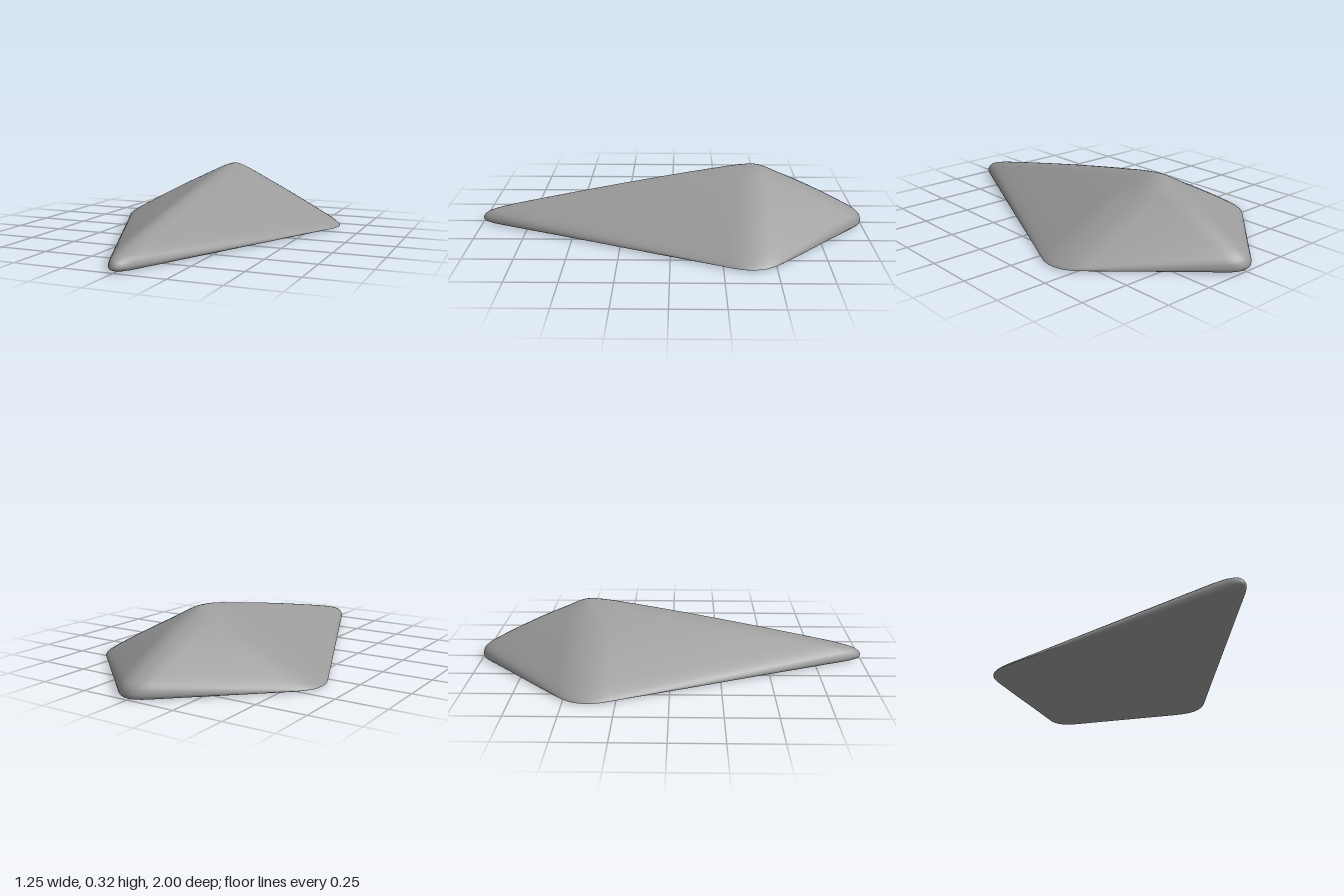
import * as THREE from 'three';

const APEX_Z = -0.42;
// Kite corners (counter-clockwise from above) and how far each one is rounded
const CORNERS = [
  { x: 0, z: 1.065, d: 0.14 },
  { x: 0.664, z: -0.425, d: 0.15 },
  { x: 0, z: -1.037, d: 0.11 },
  { x: -0.664, z: -0.425, d: 0.15 },
];

// Kite outline scaled about the apex, keeping a constant corner rounding
function kiteRing(s) {
  const corners = CORNERS.map((c) => new THREE.Vector2(c.x * s, APEX_Z + (c.z - APEX_Z) * s));
  const toward = (a, b, d) => a.clone().add(b.clone().sub(a).setLength(Math.min(d, a.distanceTo(b) * 0.45)));
  const arcs = corners.map((c, i) => new THREE.QuadraticBezierCurve(
    toward(c, corners[(i + 3) % 4], CORNERS[i].d), c, toward(c, corners[(i + 1) % 4], CORNERS[i].d)));
  const points = [];
  arcs.forEach((arc, i) => {
    points.push(...arc.getPoints(8));
    const end = arcs[(i + 1) % 4].v0;
    for (let k = 1; k < 10; k++) points.push(arc.v2.clone().lerp(end, k / 10));
  });
  return points;
}

// Height of the sloping faces: blunt apex, steeper towards the side corners, slightly full, most at the back
function slopeHeight(p, s) {
  const back = Math.max(0, (APEX_Z - p.y) / (0.6 * s));
  const fullness = (0.035 + 0.03 * back) * s * (1 - s);
  return 0.06 + 0.29 * (1 - Math.hypot(s, 0.1)) - 0.072 * Math.abs(p.x) + fullness;
}

function bodyGeometry() {
  const rings = [];
  // Sloping faces from the apex down towards the rim
  for (const s of [0.02, 0.05, 0.09, 0.14, 0.2, 0.28, 0.38, 0.48, 0.58, 0.68, 0.78, 0.85, 0.9]) {
    rings.push(kiteRing(s).map((p) => [p.x, slopeHeight(p, s), p.y]));
  }
  // Rounded rim: share of the slope height at each ring
  for (const [s, f] of [[0.935, 0.98], [0.96, 0.94], [0.98, 0.86], [0.993, 0.68], [1, 0.42], [0.997, 0.2]]) {
    rings.push(kiteRing(s).map((p) => [p.x, Math.max(0.006, f * slopeHeight(p, s)), p.y]));
  }
  // Almost flat underside
  for (const [s, y] of [[0.985, 0.004], [0.96, 0.002], [0.85, 0], [0.5, 0]]) {
    rings.push(kiteRing(s).map((p) => [p.x, y, p.y]));
  }
  const n = rings[0].length;
  const positions = [0, 0.321, APEX_Z, ...rings.flat(2), 0, 0, APEX_Z];
  const last = positions.length / 3 - 1;
  const index = [];
  for (let j = 0; j < n; j++) {
    const k = (j + 1) % n;
    index.push(0, 1 + j, 1 + k);
    for (let r = 0; r < rings.length - 1; r++) {
      const a = 1 + r * n, b = a + n;
      index.push(a + j, b + j, b + k, a + j, b + k, a + k);
    }
    index.push(last - n + j, last, last - n + k);
  }
  const geometry = new THREE.BufferGeometry();
  geometry.setAttribute('position', new THREE.Float32BufferAttribute(positions, 3));
  geometry.setIndex(index);
  geometry.computeVertexNormals();
  return geometry;
}

export function createModel() {
  const group = new THREE.Group();
  group.name = 'roundedKitePyramid';
  const grey = new THREE.MeshStandardMaterial({ color: 0x9a9a9a });
  grey.name = 'grey';
  const body = new THREE.Mesh(bodyGeometry(), grey);
  body.name = 'body';
  group.add(body);
  return group;
}
